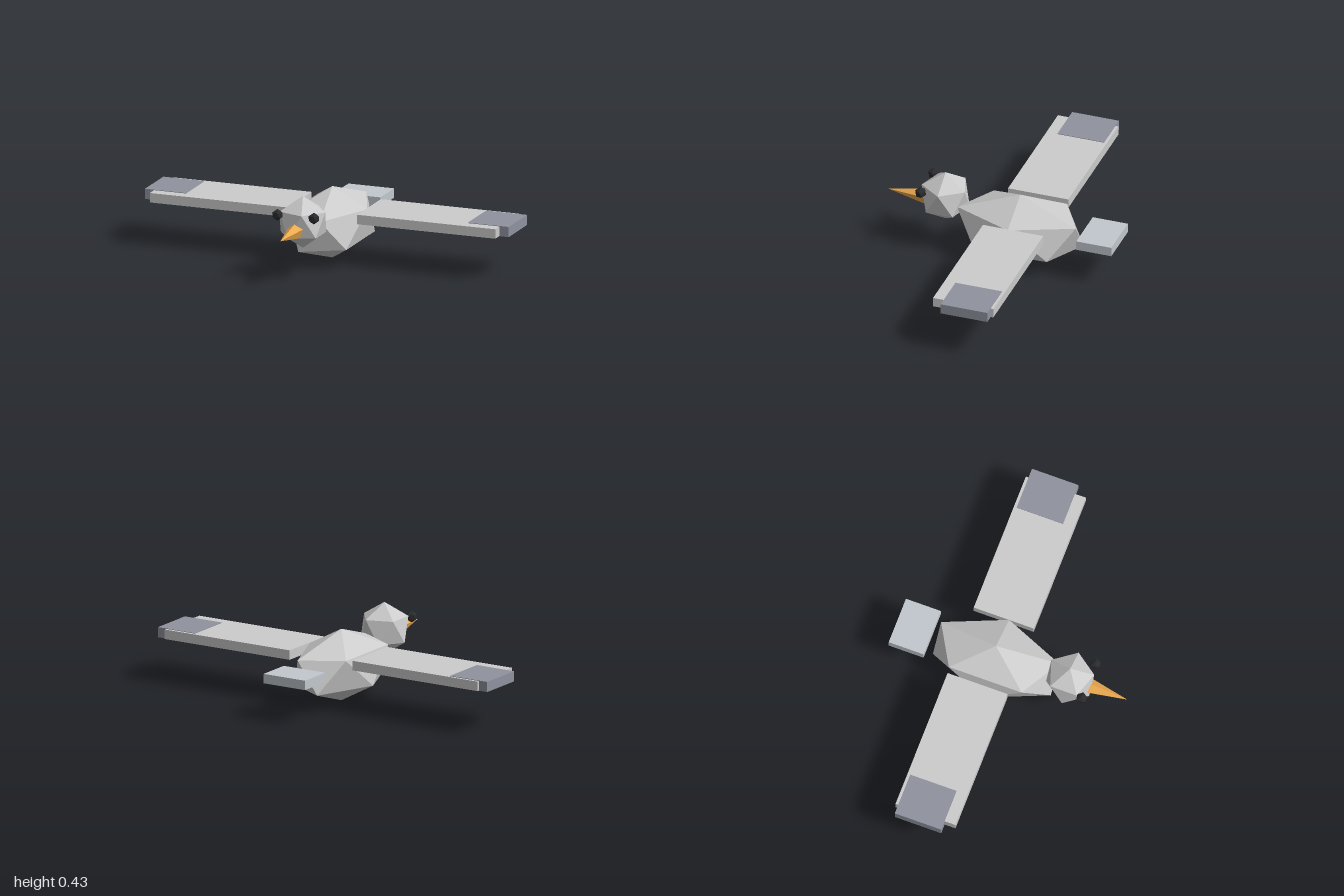
import * as THREE from 'three';
import { ConvexGeometry } from 'three/addons/geometries/ConvexGeometry.js';

const material = (color) => new THREE.MeshStandardMaterial({ color, flatShading: true });

// Icosahedron standing on one corner, stretched to three radii
function icoGeometry(rx, ry, rz) {
  const points = [new THREE.Vector3(0, ry, 0), new THREE.Vector3(0, -ry, 0)];
  const h = 1 / Math.sqrt(5);
  for (let i = 0; i < 10; i++) {
    const a = (i * Math.PI) / 5;
    const y = i % 2 ? -h : h;
    points.push(new THREE.Vector3(2 * h * Math.cos(a) * rx, y * ry, 2 * h * Math.sin(a) * rz));
  }
  return new ConvexGeometry(points);
}

export function createModel() {
  const model = new THREE.Group();
  model.name = 'bird';
  const grey = material(0xcccccc);
  const tipMaterial = material(0x8f939f);
  const tailMaterial = material(0xc2c8ce);
  const beakMaterial = material(0xeba94f);
  const eyeMaterial = material(0x2a2a2d);

  const add = (name, geometry, mat, x, y, z) => {
    const mesh = new THREE.Mesh(geometry, mat);
    mesh.name = name;
    mesh.position.set(x, y, z);
    model.add(mesh);
    return mesh;
  };

  // Body and head
  add('body', icoGeometry(0.215, 0.189, 0.378), grey, 0, 0.19, -0.09);
  add('head', icoGeometry(0.1375, 0.1375, 0.1375), grey, 0, 0.2925, 0.315);

  // Beak: five-sided cone pointing forward, one edge on top
  const beak = new THREE.ConeGeometry(0.043, 0.211, 5);
  beak.rotateY(Math.PI).rotateX(Math.PI / 2);
  add('beak', beak, beakMaterial, 0, 0.268, 0.521);

  // Wings, wing tips and eyes, mirrored
  for (const [side, s] of [['left', 1], ['right', -1]]) {
    add(side + 'Wing', new THREE.BoxGeometry(0.76, 0.05, 0.327), grey, s * 0.57, 0.255, -0.119);
    add(side + 'WingTip', new THREE.BoxGeometry(0.225, 0.054, 0.253), tipMaterial, s * 0.8875, 0.2555, -0.141);
    add(side + 'Eye', icoGeometry(0.031, 0.031, 0.031), eyeMaterial, s * 0.1, 0.345, 0.415);
  }

  // Tail
  add('tail', new THREE.BoxGeometry(0.252, 0.05, 0.19), tailMaterial, 0, 0.218, -0.533);

  return model;
}
